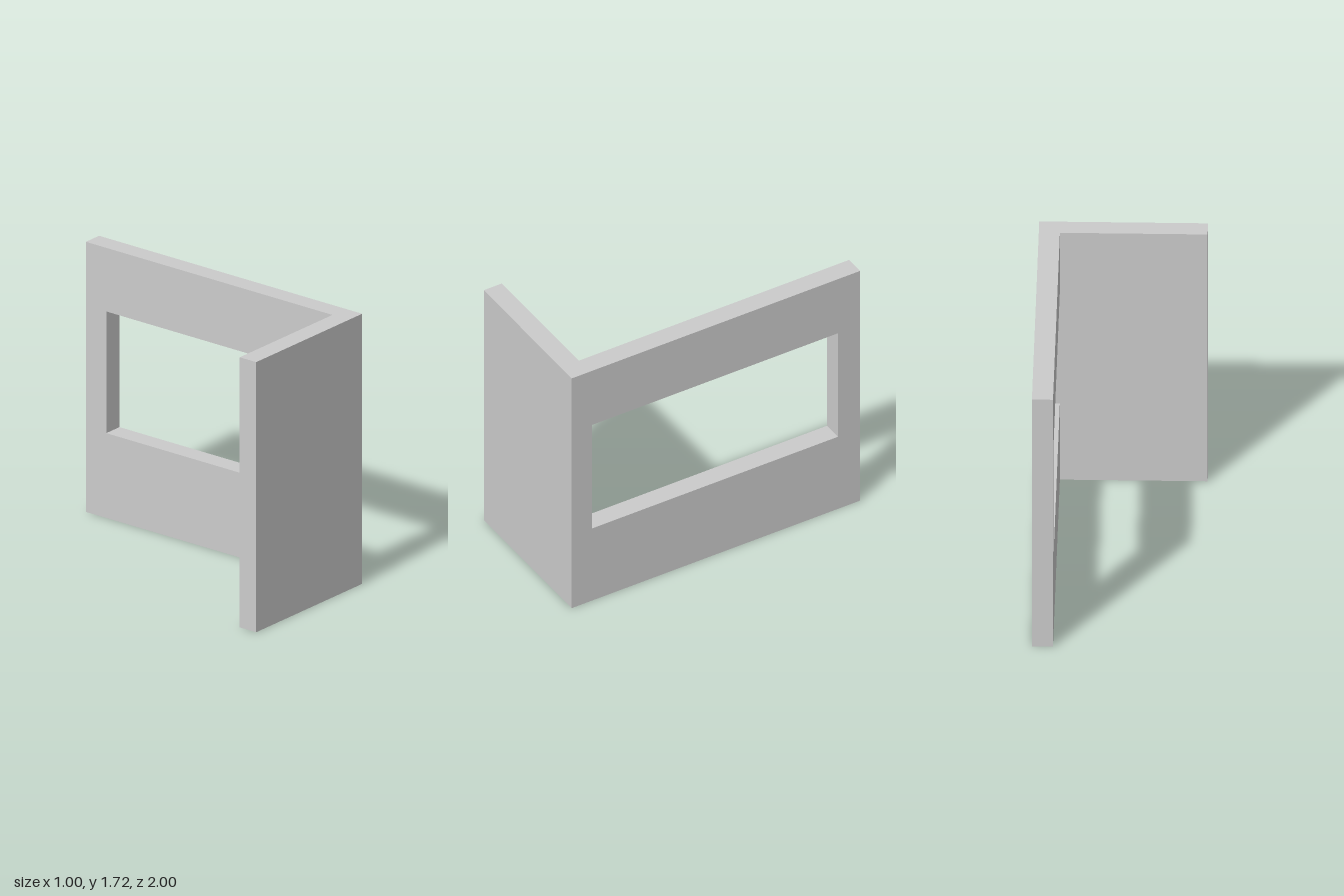
import * as THREE from 'three';

const HEIGHT = 1.72;
const THICK = 0.125;

// Counter-clockwise rectangle corners
const rect = (x0, y0, x1, y1) => [
  new THREE.Vector2(x0, y0), new THREE.Vector2(x1, y0),
  new THREE.Vector2(x1, y1), new THREE.Vector2(x0, y1),
];

export function createModel() {
  const group = new THREE.Group();
  const material = new THREE.MeshStandardMaterial({ color: 0xcccccc, flatShading: true });

  // Long side wall with a window opening; shape x runs towards -z
  const outline = new THREE.Shape(rect(-1, 0, 1, HEIGHT));
  outline.holes.push(new THREE.Path(rect(-0.86, 0.54, 0.845, 1.315).reverse()));
  const sideGeometry = new THREE.ExtrudeGeometry(outline, { depth: THICK, bevelEnabled: false });
  sideGeometry.rotateY(Math.PI / 2).translate(0.5 - THICK, 0, 0);
  const sideWall = new THREE.Mesh(sideGeometry, material);
  sideWall.name = 'windowWall';
  group.add(sideWall);

  // Short solid front wall, butting against the side wall
  const width = 1 - THICK;
  const frontWall = new THREE.Mesh(new THREE.BoxGeometry(width, HEIGHT, THICK), material);
  frontWall.name = 'frontWall';
  frontWall.position.set(-0.5 + width / 2, HEIGHT / 2, 1 - THICK / 2);
  group.add(frontWall);

  return group;
}
